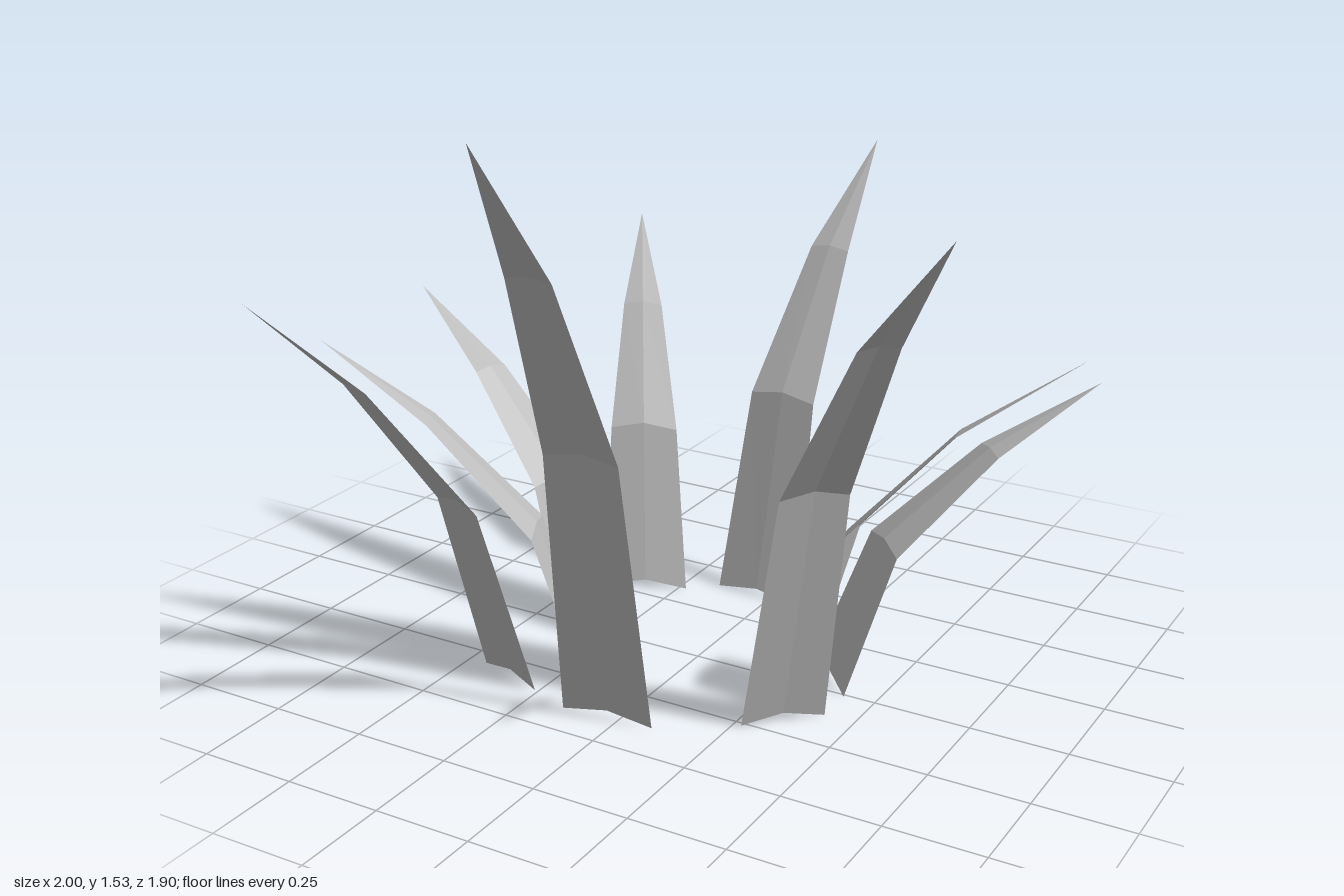
import * as THREE from 'three';

// Shared blade profile: [height fraction, outward fraction, width fraction, midrib lift]
const PROFILE = [
  [0, 0, 1, 0.02],
  [0.463, 0.2, 0.8, 0.017],
  [0.778, 0.59, 0.47, 0.009],
];

// Each blade: base corner a (x, z), base corner b (x, z), tip (x, y, z)
const BLADES = [
  { name: 'frontBlade', a: [-0.15, 0.4], b: [0.09, 0.38], tip: [0.03, 1.53, 0.95] },
  { name: 'frontLeftBlade', a: [0.27, 0.262], b: [0.42, 0.115], tip: [0.885, 1.355, 0.545] },
  { name: 'leftBlade', a: [0.305, 0.157], b: [0.3, -0.033], tip: [1.0, 0.985, 0.045] },
  { name: 'backLeftBlade', a: [0.42, 0.01], b: [0.26, -0.15], tip: [0.885, 0.775, -0.41] },
  { name: 'backBlade', a: [0.08, -0.385], b: [-0.16, -0.4], tip: [0.025, 1.17, -0.955] },
  { name: 'backRightBlade', a: [-0.23, -0.335], b: [-0.44, -0.25], tip: [-0.645, 0.91, -0.8] },
  { name: 'rightBlade', a: [-0.3, -0.135], b: [-0.37, 0.05], tip: [-1.0, 0.79, -0.215] },
  { name: 'innerRightBlade', a: [-0.22, 0.13], b: [-0.14, 0.31], tip: [-0.82, 0.845, 0.43] },
  { name: 'frontRightBlade', a: [-0.45, 0.3], b: [-0.26, 0.36], tip: [-0.765, 1.03, 0.75] },
];

// Tapered, outward-bending leaf: three points across at each level, closing in a point
function bladeGeometry({ a, b, tip }) {
  const cx = (a[0] + b[0]) / 2, cz = (a[1] + b[1]) / 2;
  const hx = (b[0] - a[0]) / 2, hz = (b[1] - a[1]) / 2;
  const positions = [];
  for (const [h, out, width, lift] of PROFILE) {
    for (const side of [-1, 0, 1]) {
      positions.push(
        cx + (tip[0] - cx) * out + hx * width * side,
        tip[1] * h + (side === 0 ? lift : 0),
        cz + (tip[2] - cz) * out + hz * width * side,
      );
    }
  }
  positions.push(...tip);

  const index = [];
  const last = PROFILE.length - 1;
  for (let row = 0; row <= last; row++) {
    for (let col = 0; col < 2; col++) {
      const p = row * 3 + col;
      if (row < last) index.push(p, p + 1, p + 4, p, p + 4, p + 3);
      else index.push(p, p + 1, positions.length / 3 - 1);
    }
  }
  const indexed = new THREE.BufferGeometry();
  indexed.setAttribute('position', new THREE.Float32BufferAttribute(positions, 3));
  indexed.setIndex(index);
  const geometry = indexed.toNonIndexed();
  geometry.computeVertexNormals();
  return geometry;
}

export function createModel() {
  const group = new THREE.Group();
  group.name = 'grassTuft';
  const grey = new THREE.MeshStandardMaterial({
    name: 'leafGrey', color: 0xbcbcbc, flatShading: true, side: THREE.DoubleSide,
  });
  for (const blade of BLADES) {
    const mesh = new THREE.Mesh(bladeGeometry(blade), grey);
    mesh.name = blade.name;
    group.add(mesh);
  }
  return group;
}
